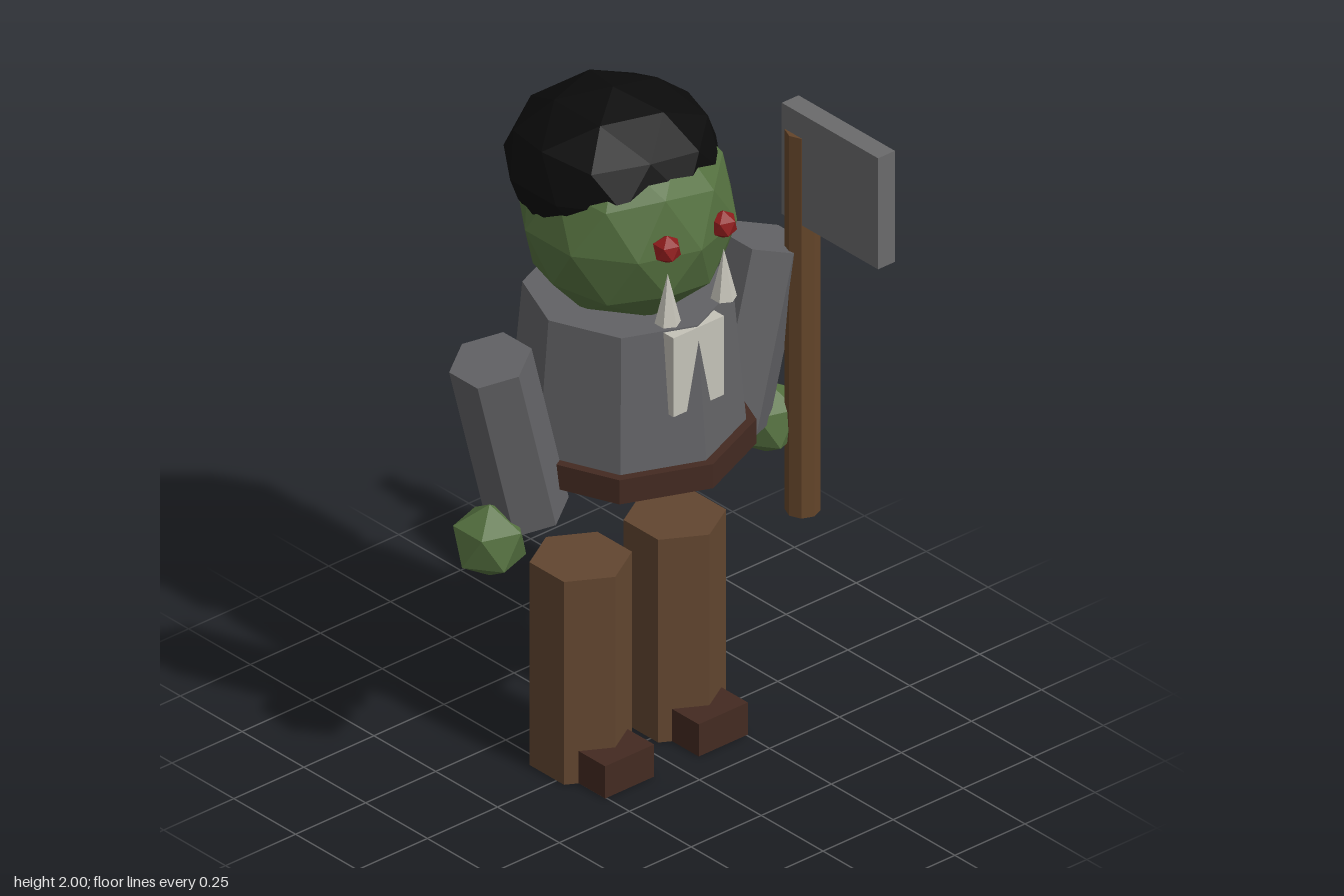
import * as THREE from 'three';

const mat = (name, color) => {
  const m = new THREE.MeshStandardMaterial({ color, flatShading: true });
  m.name = name;
  return m;
};

// Faceted ball with its poles on y and a ten-sided equator
function ball(r, detail) {
  const g = new THREE.IcosahedronGeometry(r, detail);
  g.rotateX(-Math.atan((1 + Math.sqrt(5)) / 2));
  g.rotateY(Math.PI / 2);
  return g;
}

export function createModel() {
  const skin = mat('green skin', 0x54703f);
  const hairBlack = mat('black hair', 0x0b0b0b);
  const red = mat('red eye', 0x8e1c1c);
  const ivory = mat('ivory', 0xc4c2b8);
  const cloth = mat('grey cloth', 0x626265);
  const steel = mat('grey steel', 0x6a6a6b);
  const trouser = mat('brown trousers', 0x624630);
  const leather = mat('dark leather', 0x432a21);
  const wood = mat('brown wood', 0x64452a);

  const model = new THREE.Group();
  model.name = 'axeman';
  const Z = -0.04; // body axis

  const add = (name, geo, material, x, y, z) => {
    const mesh = new THREE.Mesh(geo, material);
    mesh.name = name;
    mesh.position.set(x, y, z);
    model.add(mesh);
    return mesh;
  };

  // Head and hair cap
  add('head', ball(0.3, 1), skin, 0, 1.65, Z);
  add('hair', ball(0.3, 1).scale(1, 0.22 / 0.3, 1), hairBlack, 0, 1.78, -0.1);

  // Torso, belt and collar
  add('torso', new THREE.CylinderGeometry(0.283, 0.325, 0.49, 8), cloth, 0, 1.165, Z);
  add('belt', new THREE.CylinderGeometry(0.345, 0.345, 0.075, 8), leather, 0, 0.968, Z);
  add('collar', new THREE.BoxGeometry(0.18, 0.245, 0.04), ivory, 0, 1.283, 0.227);

  for (const s of [-1, 1]) {
    const side = s > 0 ? 'left' : 'right';
    // Face
    add(side + 'Eye', ball(0.042, 0), red, s * 0.1, 1.68, 0.232);
    add(side + 'Tusk', new THREE.ConeGeometry(0.036, 0.15, 6), ivory, s * 0.1, 1.53, 0.235);
    // Arm leaning outwards at the top
    const arm = add(side + 'Arm', new THREE.CylinderGeometry(0.115, 0.115, 0.53, 6), cloth, s * 0.424, 1.11, Z);
    arm.rotation.z = -s * 0.253;
    add(side + 'Hand', ball(0.11, 0), skin, s * 0.493, 0.81, Z);
    // Leg and shoe
    add(side + 'Leg', new THREE.CylinderGeometry(0.14, 0.14, 0.63, 6), trouser, s * 0.168, 0.315, Z);
    add(side + 'Shoe', new THREE.BoxGeometry(0.175, 0.1, 0.297), leather, s * 0.167, 0.05, 0.0085);
  }

  // Axe
  add('axeHandle', new THREE.CylinderGeometry(0.048, 0.048, 1.18, 8), wood, 0.537, 1.135, 0.058);
  add('axeBlade', new THREE.BoxGeometry(0.06, 0.345, 0.39), steel, 0.535, 1.628, 0.205);

  return model;
}
